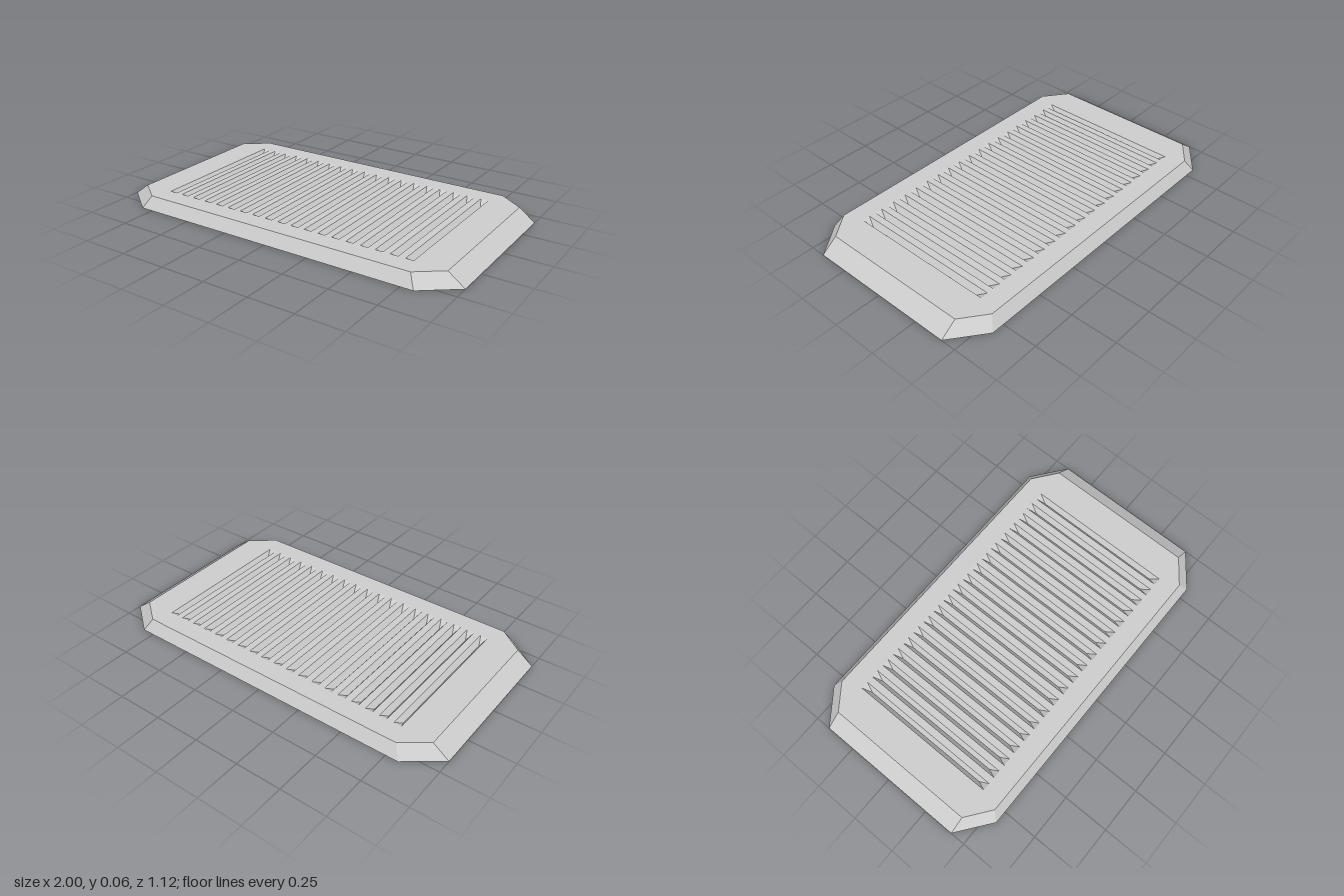
import * as THREE from 'three';

const HEIGHT = 0.065;
const GROOVES = 19, PITCH = 0.08;
const HALF_W = 0.021, HALF_L = 0.415, HIP = 0.05, DEPTH = 0.03;

const material = new THREE.MeshStandardMaterial({
  color: 0xcccccc, flatShading: true, side: THREE.DoubleSide,
});

// Rectangle with cut corners, counter-clockwise seen from above, as [x, z]
function octagon(x, z, cutX, cutZ) {
  return [[x, cutZ], [x, -cutZ], [cutX, -z], [-cutX, -z],
    [-x, -cutZ], [-x, cutZ], [-cutX, z], [cutX, z]];
}

// Flat-faced geometry from convex polygons given as lists of [x, y, z]
function fromFaces(faces) {
  const positions = [];
  for (const f of faces) {
    for (let i = 1; i < f.length - 1; i++) positions.push(...f[0], ...f[i], ...f[i + 1]);
  }
  const geometry = new THREE.BufferGeometry();
  geometry.setAttribute('position', new THREE.Float32BufferAttribute(positions, 3));
  geometry.computeVertexNormals();
  return geometry;
}

function addMesh(group, name, geometry) {
  const mesh = new THREE.Mesh(geometry, material);
  mesh.name = name;
  group.add(mesh);
  return mesh;
}

export function createModel() {
  const model = new THREE.Group();
  model.name = 'ventPanel';

  const base = octagon(1, 0.558, 0.818, 0.419);
  const rim = octagon(0.912, 0.519, 0.78, 0.419);
  const grooveX = Array.from({ length: GROOVES }, (_, i) => (i - (GROOVES - 1) / 2) * PITCH);

  // Sloping skirt, open underneath
  const skirtFaces = base.map(([x, z], i) => {
    const j = (i + 1) % base.length;
    return [[x, 0, z], [base[j][0], 0, base[j][1]],
      [rim[j][0], HEIGHT, rim[j][1]], [rim[i][0], HEIGHT, rim[i][1]]];
  });
  addMesh(model, 'skirt', fromFaces(skirtFaces));

  // Top plate with an opening for each groove
  const plate = new THREE.Shape(rim.map(([x, z]) => new THREE.Vector2(x, -z)));
  for (const x of grooveX) {
    plate.holes.push(new THREE.Path([
      new THREE.Vector2(x - HALF_W, -HALF_L), new THREE.Vector2(x - HALF_W, HALF_L),
      new THREE.Vector2(x + HALF_W, HALF_L), new THREE.Vector2(x + HALF_W, -HALF_L),
    ]));
  }
  addMesh(model, 'topPlate',
    new THREE.ShapeGeometry(plate).rotateX(-Math.PI / 2).translate(0, HEIGHT, 0));

  // V-shaped grooves with sloping triangular ends
  const frontLeft = [HALF_W, 0, HALF_L], backLeft = [HALF_W, 0, -HALF_L];
  const backRight = [-HALF_W, 0, -HALF_L], frontRight = [-HALF_W, 0, HALF_L];
  const front = [0, -DEPTH, HALF_L - HIP], back = [0, -DEPTH, HIP - HALF_L];
  const grooveGeometry = fromFaces([
    [frontLeft, backLeft, back, front],
    [backLeft, backRight, back],
    [backRight, frontRight, front, back],
    [frontRight, frontLeft, front],
  ]);
  const grooves = new THREE.Group();
  grooves.name = 'grooves';
  for (const x of grooveX) addMesh(grooves, 'groove', grooveGeometry).position.set(x, HEIGHT, 0);
  model.add(grooves);

  return model;
}
